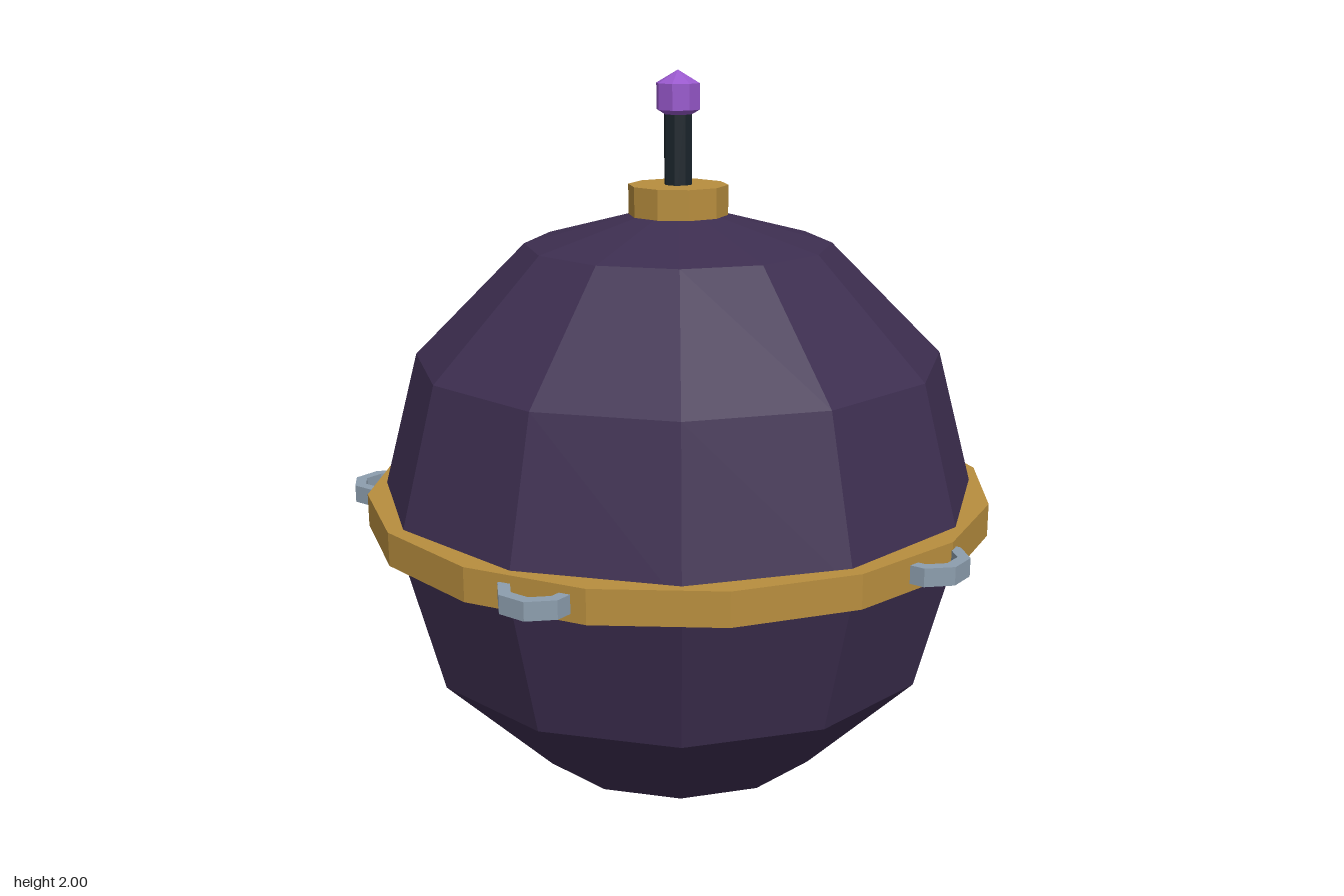
import * as THREE from 'three';

const CX = -0.04, CY = 0.828, R = 0.828;

function mat(name, color) {
  const m = new THREE.MeshStandardMaterial({ color, flatShading: true });
  m.name = name;
  return m;
}

export function createModel() {
  const root = new THREE.Group();
  root.name = 'orb';
  const shell = mat('dark violet', 0x3d2e50);
  const gold = mat('old gold', 0xb88e3e);
  const steel = mat('grey steel', 0x8d9eae);
  const dark = mat('dark metal', 0x1b252c);
  const purple = mat('bright purple', 0x9858cc);

  const add = (name, geo, material, x, y, z) => {
    const m = new THREE.Mesh(geo, material);
    m.name = name;
    m.position.set(x, y, z);
    root.add(m);
    return m;
  };

  // Faceted body and the belt around its middle
  add('body', new THREE.SphereGeometry(R, 12, 6), shell, CX, CY, 0);
  add('belt', new THREE.CylinderGeometry(0.857, 0.857, 0.09, 16), gold, CX, CY + 0.002, 0);

  // Collar, stem and knob on top
  const collar = add('collar', new THREE.CylinderGeometry(0.134, 0.134, 0.08, 10), gold, CX, 1.662, 0);
  collar.rotation.y = Math.PI / 2;
  add('stem', new THREE.CylinderGeometry(0.038, 0.038, 0.3, 8), dark, CX, 1.77, 0);
  add('knob', new THREE.SphereGeometry(0.068, 8, 3), purple, CX, 1.932, 0);

  // Five flat octagonal loops spaced around the belt
  const polygon = (path, r) => {
    for (let i = 0; i < 8; i++) {
      const a = (i * Math.PI) / 4;
      path[i ? 'lineTo' : 'moveTo'](r * Math.cos(a), r * Math.sin(a));
    }
    path.closePath();
    return path;
  };
  const loopShape = polygon(new THREE.Shape(), 0.102);
  loopShape.holes.push(polygon(new THREE.Path(), 0.07));
  const loopGeo = new THREE.ExtrudeGeometry(loopShape, { depth: 0.048, bevelEnabled: false });
  loopGeo.translate(0, 0, -0.024).rotateX(-Math.PI / 2);
  for (let i = 0; i < 5; i++) {
    const a = (i * Math.PI * 2) / 5;
    add('loop', loopGeo, steel, CX + R * Math.cos(a), CY + 0.002, R * Math.sin(a));
  }

  // Triangle of thin rods on the left side
  const corners = [
    new THREE.Vector3(0.772, 0.83, 0.195),
    new THREE.Vector3(0.772, 1.035, -0.163),
    new THREE.Vector3(0.772, 0.595, -0.213),
  ];
  const up = new THREE.Vector3(0, 1, 0);
  corners.forEach((p, i) => {
    const d = corners[(i + 1) % 3].clone().sub(p);
    const mid = p.clone().addScaledVector(d, 0.5);
    const rod = add('triangleRod', new THREE.CylinderGeometry(0.022, 0.022, d.length() + 0.015, 6), purple, mid.x, mid.y, mid.z);
    rod.quaternion.setFromUnitVectors(up, d.normalize());
  });

  return root;
}
